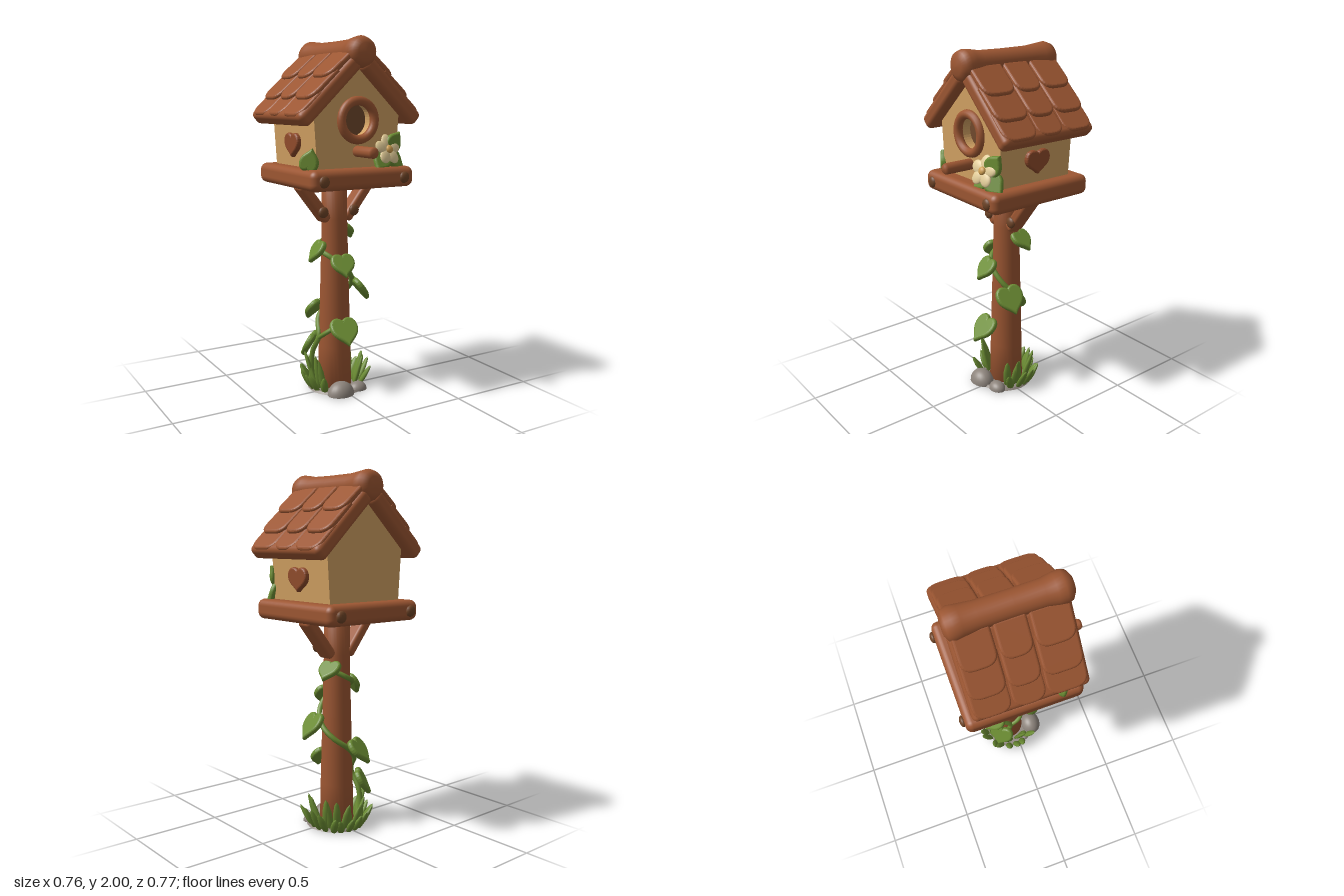
import * as THREE from 'three';
import { RoundedBoxGeometry } from 'three/addons/geometries/RoundedBoxGeometry.js';

const paint = (name, color) => {
  const m = new THREE.MeshStandardMaterial({ color });
  m.name = name;
  return m;
};
const V = (x, y) => new THREE.Vector2(x, y);
const V3 = (x, y, z) => new THREE.Vector3(x, y, z);

export function createModel() {
  const wood = paint('wood', 0x9c5632);
  const wall = paint('wallTan', 0xd0a062);
  const dark = paint('holeBrown', 0x70492c);
  const nailBrown = paint('nailBrown', 0x6e4427);
  const heartRed = paint('heartBrown', 0x8f4b2b);
  const green = paint('leafGreen', 0x6b8c33);
  const stone = paint('stoneGrey', 0x8d847c);
  const cream = paint('petalCream', 0xe3cd98);
  const yellow = paint('flowerCentre', 0xcf9f50);

  const model = new THREE.Group();
  const add = (name, geo, mat, pos = [0, 0, 0], rot = [0, 0, 0], parent = model) => {
    const mesh = new THREE.Mesh(geo, mat);
    mesh.name = name;
    mesh.position.set(...pos);
    mesh.rotation.set(...rot, 'YXZ');
    parent.add(mesh);
    return mesh;
  };
  const cz = -0.035; // post axis

  // Post
  const postProfile = [[0, 0], [0.098, 0], [0.093, 0.25], [0.082, 0.65], [0.073, 1], [0.073, 1.22], [0, 1.22]];
  add('post', new THREE.LatheGeometry(postProfile.map(p => V(...p)), 28), wood, [0, 0, cz]);

  // Braces, platform and nails
  const nailGeo = new THREE.SphereGeometry(0.032, 14, 10).scale(1, 1, 0.55);
  add('platform', new RoundedBoxGeometry(0.64, 0.112, 0.655, 4, 0.038), wood, [0, 1.252, -0.032]);
  for (const s of [1, -1]) {
    add('brace', new RoundedBoxGeometry(0.06, 0.27, 0.1, 3, 0.02), wood, [s * 0.142, 1.1, cz], [0, 0, -s * 0.66]);
    add('braceNail', nailGeo, nailBrown, [s * 0.1, 1.045, 0.014]);
    add('frontNail', nailGeo, nailBrown, [s * 0.25, 1.25, 0.292]);
    add('backNail', nailGeo, nailBrown, [s * 0.25, 1.25, -0.364]);
  }

  // House walls, with a round opening in the front gable
  const gable = () => new THREE.Shape([V(-0.245, 1.29), V(0.245, 1.29), V(0.265, 1.59), V(0, 1.85), V(-0.265, 1.59)]);
  const front = gable();
  front.holes.push(new THREE.Path().absarc(0, 1.56, 0.09, 0, Math.PI * 2, true));
  const ex = (shape, depth, curveSegments = 20) =>
    new THREE.ExtrudeGeometry(shape, { depth, bevelEnabled: false, curveSegments });
  add('houseBody', ex(gable(), 0.41), wall, [0, 0, -0.27]);
  add('frontWall', ex(front, 0.07), wall, [0, 0, 0.14]);
  add('entranceHole', new THREE.CircleGeometry(0.092, 28), dark, [0, 1.56, 0.145]);
  add('entranceRing', new THREE.TorusGeometry(0.103, 0.025, 12, 36), wood, [0, 1.56, 0.215]);

  // Perch
  const perch = [[0, 0], [0.03, 0], [0.03, 0.175], [0.022, 0.188], [0, 0.19]].map(p => V(...p));
  add('perch', new THREE.LatheGeometry(perch, 18), wood, [0, 1.395, 0.195], [Math.PI / 2, 0, 0]);

  // Roof: local x runs down the slope, local y points out of it
  const slope = 0.762;
  const columns = [[-0.322, -0.124], [-0.124, 0.05], [0.05, 0.262]];
  const rows = [[0.0, 0.185, 0.098], [0.13, 0.335, 0.09], [0.28, 0.445, 0.078]];
  const shingle = (len, w) => {
    const r = 0.055, b = 0.014, L = len - b, h = w / 2 - b, s = new THREE.Shape();
    s.moveTo(0, -h);
    s.lineTo(L - r, -h);
    s.quadraticCurveTo(L, -h, L, -h + r);
    s.lineTo(L, h - r);
    s.quadraticCurveTo(L, h, L - r, h);
    s.lineTo(0, h);
    const g = new THREE.ExtrudeGeometry(s, {
      depth: 0.008, bevelThickness: b, bevelSize: b, bevelSegments: 4, curveSegments: 6,
    });
    return g.rotateX(-Math.PI / 2);
  };
  for (const side of [1, -1]) {
    const roof = new THREE.Group();
    roof.name = side > 0 ? 'leftRoof' : 'rightRoof';
    roof.position.y = 1.835;
    roof.rotation.set(0, side > 0 ? 0 : Math.PI, -slope);
    model.add(roof);
    add('roofSlab', new RoundedBoxGeometry(0.46, 0.085, 0.6, 4, 0.03), wood, [0.223, 0.043, side * -0.03], [0, 0, 0], roof);
    rows.forEach(([a, b, lift], i) => columns.forEach(([z0, z1]) =>
      add('shingle', shingle(b - a, z1 - z0 - 0.012 * (2 - i) * 0.5), wood,
        [a, lift - 0.012, side * (z0 + z1) / 2], [0, 0, 0.06 - 0.02 * i], roof)));
  }

  // Ridge log with swollen ends
  const ridge = [[0, -0.295], [0.045, -0.293], [0.073, -0.275], [0.084, -0.245], [0.08, -0.205], [0.071, -0.15],
    [0.069, 0], [0.071, 0.17], [0.08, 0.25], [0.085, 0.29], [0.074, 0.322], [0.045, 0.338], [0, 0.34]];
  add('ridgeLog', new THREE.LatheGeometry(ridge.map(p => V(...p)), 28), wood, [0, 1.914, 0], [-Math.PI / 2, 0, 0]);

  // Rounded heart outline, one unit wide, tip down
  const heart = (w, h, depth, bevel) => {
    const s = new THREE.Shape();
    s.moveTo(0, 0.3 * h);
    s.bezierCurveTo(0.12 * w, 0.56 * h, 0.5 * w, 0.56 * h, 0.5 * w, 0.16 * h);
    s.bezierCurveTo(0.5 * w, -0.16 * h, 0.14 * w, -0.32 * h, 0, -0.5 * h);
    s.bezierCurveTo(-0.14 * w, -0.32 * h, -0.5 * w, -0.16 * h, -0.5 * w, 0.16 * h);
    s.bezierCurveTo(-0.5 * w, 0.56 * h, -0.12 * w, 0.56 * h, 0, 0.3 * h);
    return new THREE.ExtrudeGeometry(s, {
      depth, bevelThickness: bevel, bevelSize: bevel, bevelSegments: 4, curveSegments: 10,
    }).translate(0, 0, -depth / 2);
  };
  for (const s of [1, -1])
    add('heart', heart(0.135, 0.105, 0.03, 0.012), heartRed, [s * 0.254, 1.428, -0.03], [0, s * Math.PI / 2, 0]);

  // Vine winding up the post: turn angle, height, distance from the axis
  const vinePoints = [[4.0, 0.02, 0.14], [4.2, 0.2, 0.13], [4.6, 0.31, 0.1], [3.9, 0.4, 0.1], [3.14, 0.47, 0.1],
    [2.3, 0.53, 0.1], [1.57, 0.59, 0.1], [0.8, 0.66, 0.1], [0, 0.74, 0.095], [-0.8, 0.79, 0.09],
    [-1.6, 0.82, 0.09], [-2.4, 0.85, 0.085], [-3.2, 0.88, 0.085], [-4.2, 0.92, 0.085]];
  const curve = pts => new THREE.CatmullRomCurve3(pts.map(([t, y, r]) => V3(Math.sin(t) * r, y, Math.cos(t) * r + cz)));
  add('vine', new THREE.TubeGeometry(curve(vinePoints), 110, 0.015, 8), green);
  add('vineBranch', new THREE.TubeGeometry(
    curve([[4.6, 0.3, 0.1], [5.2, 0.34, 0.1], [5.8, 0.38, 0.1], [6.2, 0.4, 0.11]]), 24, 0.014, 8), green);

  // Vine leaves: position, yaw, outward tilt, roll, size
  const leaves = [
    [-0.02, 0.75, 0.1, -0.15, -0.7, 0, 0.9], [0.13, 0.59, 0.035, 1.35, -0.65, 0.1, 1.1],
    [-0.02, 0.37, 0.12, -0.1, -0.75, 0, 1.12], [-0.12, 0.82, -0.03, -1.7, -0.6, 0, 0.85],
    [0.095, 0.92, -0.075, 1.8, -0.85, 0, 0.85], [-0.07, 0.45, -0.155, 3.6, -0.7, 0, 1.05],
    [-0.125, 0.25, -0.12, 3.95, -0.5, 0, 1]];
  for (const [x, y, z, yaw, tilt, roll, k] of leaves)
    add('vineLeaf', heart(0.125 * k, 0.13 * k, 0.006, 0.014), green, [x, y, z], [tilt, yaw, roll]);

  // Flower with leaves at the corner of the house, and a leaf on the other side
  const flower = new THREE.Group();
  flower.name = 'flower';
  flower.position.set(0.17, 1.4, 0.25);
  flower.rotation.set(-0.35, 0.15, 0);
  model.add(flower);
  for (let i = 0; i < 5; i++) {
    const t = Math.PI / 2 + i * Math.PI * 0.4;
    add('petal', new THREE.SphereGeometry(1, 14, 10).scale(0.043, 0.035, 0.013), cream,
      [Math.cos(t) * 0.045, Math.sin(t) * 0.045, 0], [0, 0, t], flower);
  }
  add('flowerCentre', new THREE.SphereGeometry(0.022, 14, 10).scale(1, 1, 0.6), yellow, [0, 0, 0.014], [0, 0, 0], flower);
  for (const [x, y, z, yaw, tilt, roll, k] of [[0.225, 1.44, 0.225, 0.2, 0, 2.5, 0.75],
    [0.14, 1.34, 0.235, 0, -0.4, -0.7, 0.8], [0.235, 1.34, 0.23, 0.5, -0.3, 0.8, 0.8]])
    add('flowerLeaf', heart(0.11 * k, 0.13 * k, 0.006, 0.013), green, [x, y, z], [tilt, yaw, roll]);
  add('sideLeaf', heart(0.075, 0.09, 0.012, 0.014), green, [-0.28, 1.355, 0.19], [0, -0.7, 2.9]);

  // Grass tufts around the back and sides
  const bladeProfile = [[0, 0], [0.016, 0.02], [0.023, 0.3], [0.022, 0.6], [0.013, 0.88], [0, 1]].map(p => V(...p));
  for (let i = 0; i < 30; i++) {
    const outer = i % 2, t = 0.95 + (i / 29) * 4.4;
    const tall = Math.abs(Math.sin(t)) ** 2; // higher at the two sides
    const h = (outer ? 0.1 : 0.14) + tall * (outer ? 0.04 : 0.08) + 0.02 * Math.sin(i * 2.7);
    const r = outer ? 0.145 : 0.115;
    add('grassBlade', new THREE.LatheGeometry(bladeProfile, 10).scale(1, h, 0.6), green,
      [Math.sin(t) * r, 0, Math.cos(t) * r + cz], [outer ? 0.5 : 0.26, t, 0.2 * Math.sin(i * 1.9)]);
  }

  // Stones and the ground pad
  const pebble = (name, sx, sy, sz, pos) =>
    add(name, new THREE.SphereGeometry(1, 20, 14, 0, Math.PI * 2, 0, Math.PI / 2).scale(sx, sy, sz), stone, pos);
  pebble('largeStone', 0.08, 0.075, 0.065, [-0.045, 0, 0.115]);
  pebble('smallStone', 0.055, 0.045, 0.045, [0.08, 0, 0.095]);
  add('groundPad', new THREE.CylinderGeometry(0.155, 0.165, 0.012, 24), stone, [0, 0.006, -0.02]);

  return model;
}
